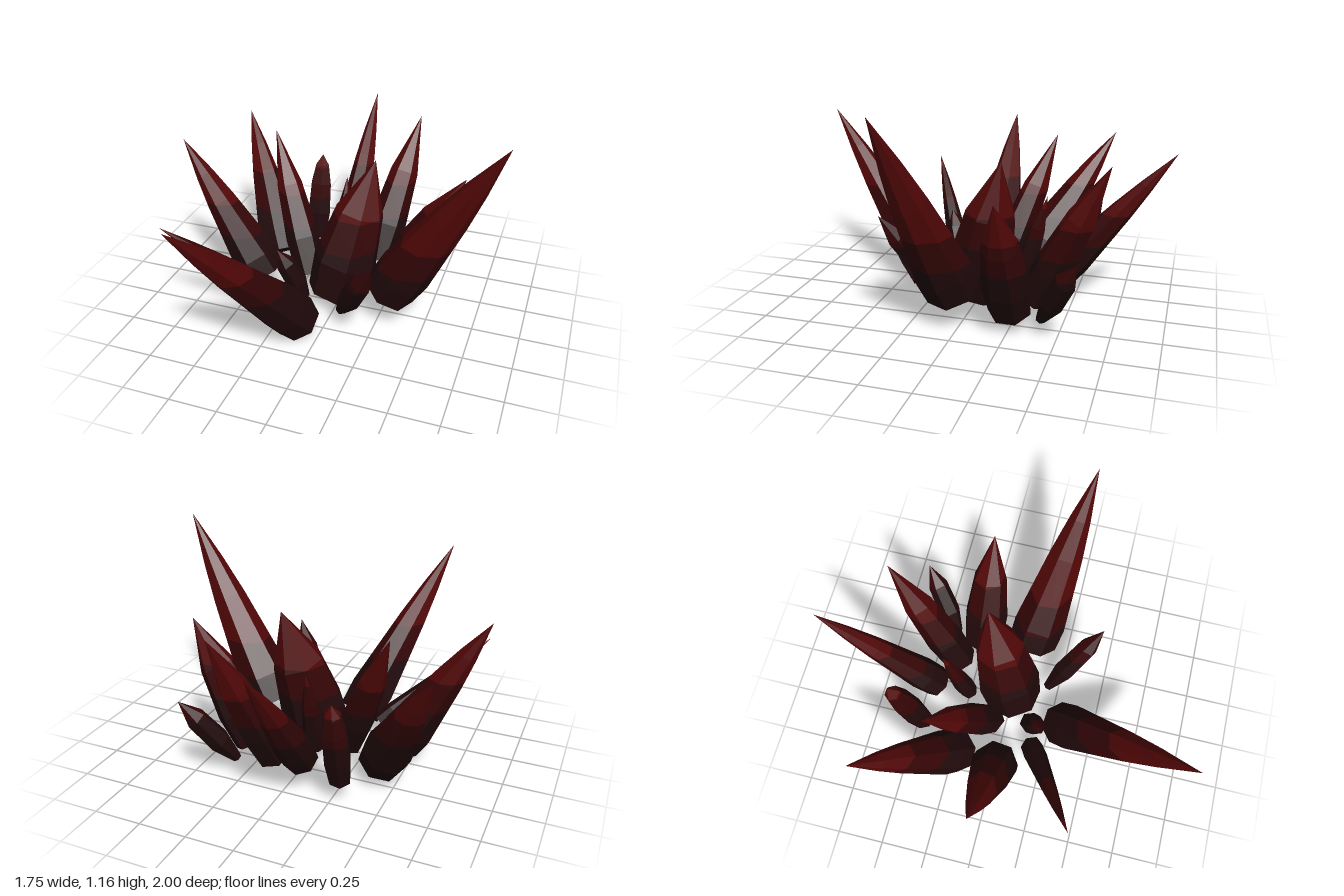
import * as THREE from 'three';

// Colour bands by height: shadowed root, middle, glowing tip
const rootRed = new THREE.MeshStandardMaterial({ name: 'rootRed', color: 0x21090b });
const middleRed = new THREE.MeshStandardMaterial({ name: 'middleRed', color: 0x350506 });
const tipRed = new THREE.MeshStandardMaterial({ name: 'tipRed', color: 0x520708 });
const materials = [rootRed, middleRed, tipRed];
const bands = [-1, 0.365, 0.535, 3];

// Profiles as [radius, height] fractions, from base to point
const spike = [[0, 0], [0.96, 0], [1, 0.13], [0.62, 0.55], [0.38, 0.75], [0, 1]];
const stout = [[0, 0], [0.9, 0], [1, 0.25], [0.75, 0.62], [0, 1]];
const leaf = [[0, 0], [0.4, 0], [0.95, 0.32], [0.85, 0.72], [0, 1]];
const blunt = [[0, 0], [0.8, 0], [1, 0.3], [0.9, 0.65], [0.6, 0.87], [0, 1]];

// name, base centre, point, radius, profile, sides
const crystals = [
  ['frontCrystal', [-0.115, 0.078, 0.305], [-0.43, 0.925, 0.995], 0.128, spike, 7],
  ['leftTallCrystal', [0.305, 0.195, 0.045], [0.875, 1.165, 0.22], 0.147, spike, 7],
  ['backCrystal', [-0.07, 0.175, -0.425], [-0.09, 0.865, -1.0], 0.094, spike, 7],
  ['backRightCrystal', [-0.42, 0.13, -0.21], [-0.77, 0.81, -0.62], 0.126, spike, 7],
  ['rightCrystal', [-0.435, 0.125, 0.01], [-0.88, 0.865, 0], 0.13, spike, 7],
  ['frontRightThinCrystal', [-0.29, 0.11, 0.18], [-0.79, 0.59, 0.47], 0.064, spike, 6],
  ['innerRightCrystal', [-0.19, 0.11, -0.08], [-0.48, 0.84, -0.33], 0.093, stout, 6],
  ['backLeftCrystal', [0.12, 0.11, -0.345], [0.255, 0.87, -0.72], 0.104, stout, 6],
  ['leftCrystal', [0.275, 0.11, -0.25], [0.615, 0.75, -0.25], 0.125, stout, 7],
  ['frontLeftSmallCrystal', [0.08, 0.1, 0.19], [0.31, 0.54, 0.43], 0.067, leaf, 6],
  ['outerBackLeftSmallCrystal', [0.3, 0.08, -0.41], [0.5, 0.46, -0.61], 0.065, leaf, 6],
  ['outerBackRightSmallCrystal', [-0.29, 0.12, -0.45], [-0.3, 0.6, -0.595], 0.072, blunt, 6],
  ['centreCrystal', [-0.01, 0.075, 0.005], [0.15, 0.825, -0.165], 0.177, stout, 7],
  ['innerBackSmallCrystal', [-0.07, 0.14, -0.24], [-0.07, 0.6, -0.36], 0.054, stout, 6],
  ['innerFrontSmallCrystal', [-0.15, 0.09, 0.11], [-0.26, 0.42, 0.22], 0.062, leaf, 6],
];

// Keep the part of a polygon on one side of a level plane
function clip(poly, level, sign) {
  const out = [];
  poly.forEach((p, i) => {
    const q = poly[(i + 1) % poly.length];
    const dp = (p.y - level) * sign, dq = (q.y - level) * sign;
    if (dp >= 0) out.push(p);
    if (dp * dq < 0) out.push(p.clone().lerp(q, dp / (dp - dq)));
  });
  return out;
}

// Split a geometry into level bands, one material group each, with flat faces
function bandGeometry(source) {
  const pos = source.toNonIndexed().attributes.position;
  const data = [];
  const geometry = new THREE.BufferGeometry();
  materials.forEach((_, band) => {
    const start = data.length / 3;
    for (let i = 0; i < pos.count; i += 3) {
      const tri = [0, 1, 2].map((k) => new THREE.Vector3().fromBufferAttribute(pos, i + k));
      if (new THREE.Triangle(...tri).getArea() < 1e-7) continue;
      const poly = clip(clip(tri, bands[band], 1), bands[band + 1], -1);
      for (let k = 1; k + 1 < poly.length; k++) {
        for (const v of [poly[0], poly[k], poly[k + 1]]) data.push(v.x, v.y, v.z);
      }
    }
    geometry.addGroup(start, data.length / 3 - start, band);
  });
  geometry.setAttribute('position', new THREE.Float32BufferAttribute(data, 3));
  geometry.computeVertexNormals();
  return geometry;
}

function makeCrystal([name, base, tip, radius, profile, sides], index) {
  const foot = new THREE.Vector3(...base);
  const axis = new THREE.Vector3(...tip).sub(foot);
  const length = axis.length();
  const points = profile.map(([r, h]) => new THREE.Vector2(r * radius, h * length));
  const lathe = new THREE.LatheGeometry(points, sides, index * 0.7);
  const turn = new THREE.Quaternion().setFromUnitVectors(new THREE.Vector3(0, 1, 0), axis.normalize());
  lathe.applyQuaternion(turn).translate(foot.x, foot.y, foot.z);
  const mesh = new THREE.Mesh(bandGeometry(lathe), materials);
  mesh.name = name;
  return mesh;
}

export function createModel() {
  const group = new THREE.Group();
  group.name = 'crystalCluster';
  crystals.forEach((c, i) => group.add(makeCrystal(c, i)));
  return group;
}
